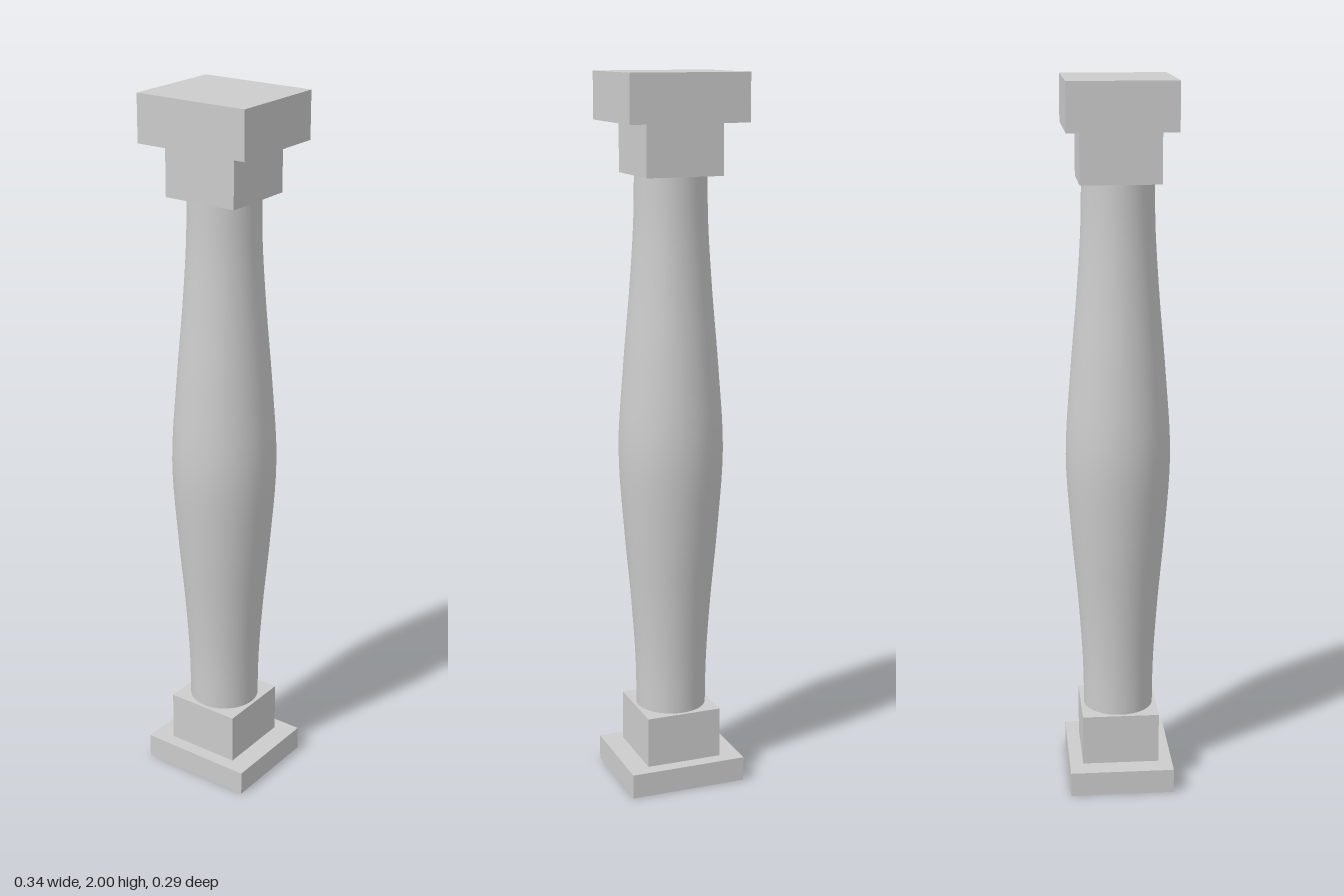
import * as THREE from 'three';

export function createModel() {
  const model = new THREE.Group();
  const material = new THREE.MeshStandardMaterial({ color: 0xcccccc });

  const block = (name, width, depth, bottom, top) => {
    const mesh = new THREE.Mesh(new THREE.BoxGeometry(width, top - bottom, depth), material);
    mesh.position.y = (bottom + top) / 2;
    mesh.name = name;
    model.add(mesh);
  };

  // Rectangular foot and cap, with square blocks next to the shaft
  block('base', 0.337, 0.294, 0, 0.07);
  block('lowerBlock', 0.218, 0.218, 0.07, 0.215);
  block('upperBlock', 0.218, 0.218, 1.73, 1.87);
  block('cap', 0.337, 0.294, 1.87, 2);

  // Round shaft with a smooth swelling at the middle
  const profile = new THREE.SplineCurve([
    [0.099, 0.215], [0.102, 0.36], [0.114, 0.54], [0.132, 0.74], [0.146, 0.97],
    [0.132, 1.2], [0.114, 1.41], [0.102, 1.59], [0.099, 1.73],
  ].map(([r, y]) => new THREE.Vector2(r, y)));
  const shaft = new THREE.Mesh(new THREE.LatheGeometry(profile.getPoints(40), 48), material);
  shaft.name = 'shaft';
  model.add(shaft);

  return model;
}
